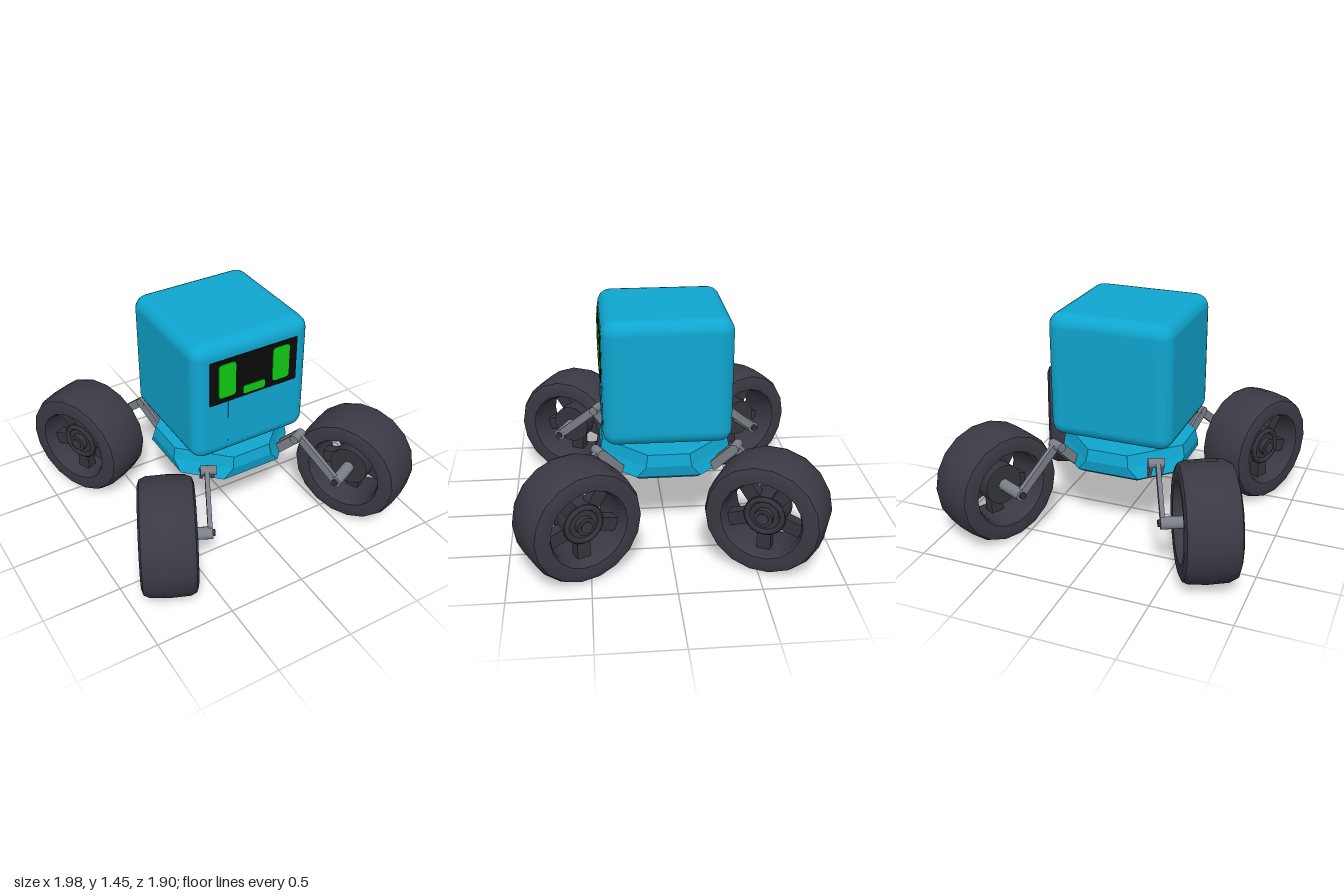
import * as THREE from 'three';
import { toCreasedNormals } from 'three/addons/utils/BufferGeometryUtils.js';
import { RoundedBoxGeometry } from 'three/addons/geometries/RoundedBoxGeometry.js';

const material = (name, color) => {
  const m = new THREE.MeshStandardMaterial({ color });
  m.name = name;
  return m;
};

function part(parent, name, geometry, mat, x = 0, y = 0, z = 0) {
  const mesh = new THREE.Mesh(geometry, mat);
  mesh.name = name;
  mesh.position.set(x, y, z);
  parent.add(mesh);
  return mesh;
}

// Cylinder lying along the local x axis
const axle = (r, length, sides = 16) =>
  new THREE.CylinderGeometry(r, r, length, sides).rotateZ(-Math.PI / 2);

// Thin rounded plate facing +z
function roundedPlate(w, h, r, depth) {
  const s = new THREE.Shape();
  const x = w / 2, y = h / 2;
  s.moveTo(-x + r, -y);
  s.lineTo(x - r, -y); s.quadraticCurveTo(x, -y, x, -y + r);
  s.lineTo(x, y - r); s.quadraticCurveTo(x, y, x - r, y);
  s.lineTo(-x + r, y); s.quadraticCurveTo(-x, y, -x, y - r);
  s.lineTo(-x, -y + r); s.quadraticCurveTo(-x, -y, -x + r, -y);
  return new THREE.ExtrudeGeometry(s, { depth, bevelEnabled: false, curveSegments: 4 });
}

// Faceted body from eight-sided sections: [height, side distance, side half width]
function octagonBody(sections) {
  const pos = [], index = [];
  for (const [y, d, w] of sections) {
    pos.push(d, y, -w, d, y, w, w, y, d, -w, y, d, -d, y, w, -d, y, -w, -w, y, -d, w, y, -d);
  }
  for (let s = 0; s < sections.length - 1; s++) {
    for (let i = 0; i < 8; i++) {
      const a = s * 8 + i, b = s * 8 + (i + 1) % 8;
      index.push(a, a + 8, b, b, a + 8, b + 8);
    }
  }
  const top = (sections.length - 1) * 8;
  for (let i = 1; i < 7; i++) {
    index.push(0, i, i + 1, top, top + i + 1, top + i);
  }
  const g = new THREE.BufferGeometry();
  g.setAttribute('position', new THREE.Float32BufferAttribute(pos, 3));
  g.setIndex(index);
  const flat = g.toNonIndexed();
  flat.computeVertexNormals();
  return flat;
}

export function createModel() {
  const blue = material('blue shell', 0x0fa6d0);
  const grey = material('grey metal', 0x7b8088);
  const rubber = material('dark rubber', 0x3b3944);
  const rimDark = material('dark rim', 0x35343d);
  const black = material('black screen', 0x0a0a0b);
  const green = material('green light', 0x0fcb12);

  const model = new THREE.Group();
  model.name = 'fourWheeledRobot';

  // Cube head with face screen and front hatch
  const head = new THREE.Group();
  head.name = 'head';
  model.add(head);
  part(head, 'headShell', new RoundedBoxGeometry(0.8, 0.8, 0.8, 3, 0.085), blue, 0, 1.06, 0);
  part(head, 'hatch', new THREE.BoxGeometry(0.35, 0.3, 0.008), blue, 0, 0.91, 0.4);
  part(head, 'screen', new THREE.BoxGeometry(0.6, 0.296, 0.009), black, 0, 1.208, 0.402);
  for (const s of [-1, 1]) {
    part(head, 'eye', roundedPlate(0.117, 0.23, 0.025, 0.005), green, s * 0.186, 1.214, 0.406);
  }
  part(head, 'mouth', roundedPlate(0.15, 0.055, 0.012, 0.005), green, 0, 1.107, 0.406);

  // Neck and chassis
  part(model, 'neck', new THREE.CylinderGeometry(0.19, 0.19, 0.1, 32), grey, 0, 0.63, 0);
  part(model, 'chassis', octagonBody([
    [0.43, 0.36, 0.18], [0.46, 0.4, 0.2], [0.535, 0.415, 0.14], [0.61, 0.4, 0.13],
  ]), blue);

  // Tyre profile, closed through the barrel of the rim
  const tyre = [
    [0.25, -0.165], [0.31, -0.17], [0.345, -0.157], [0.362, -0.12], [0.368, 0],
    [0.362, 0.12], [0.345, 0.157], [0.31, 0.17], [0.25, 0.165], [0.235, 0.13],
    [0.235, -0.13], [0.25, -0.165],
  ].map(([r, a]) => new THREE.Vector2(r, a));
  const tyreGeometry = toCreasedNormals(
    new THREE.LatheGeometry(tyre, 18).rotateZ(-Math.PI / 2), 0.7);

  function wheel() {
    const g = new THREE.Group();
    g.name = 'wheel';
    part(g, 'tyre', tyreGeometry, rubber);
    part(g, 'hub', axle(0.13, 0.17, 20), rimDark, 0.005);
    part(g, 'hubRing', new THREE.TorusGeometry(0.108, 0.018, 6, 20).rotateY(Math.PI / 2), rimDark, 0.09);
    part(g, 'hubCap', axle(0.058, 0.05), rimDark, 0.1);
    part(g, 'hubBolt', axle(0.036, 0.02), rubber, 0.125);
    for (let i = 0; i < 5; i++) {
      const spoke = part(g, 'spoke',
        new THREE.BoxGeometry(0.07, 0.14, 0.085).translate(0, 0.18, 0), rimDark, 0.045);
      spoke.rotation.x = (i + 0.5) * Math.PI * 2 / 5;
    }
    return g;
  }

  // Flat bar between two points given as [height, along]
  function bar(parent, name, u, [y0, v0], [y1, v1], width, thick) {
    const length = Math.hypot(y1 - y0, v1 - v0);
    const mesh = part(parent, name, new THREE.BoxGeometry(thick, length, width), grey,
      u, (y0 + y1) / 2, (v0 + v1) / 2);
    mesh.rotation.x = Math.atan2(v1 - v0, y1 - y0);
    for (const [y, v] of [[y0, v0], [y1, v1]]) {
      part(parent, name + 'End', axle(width / 2, thick, 12), grey, u, y, v);
    }
  }

  // One wheel with its leg; s is the side (+1 or -1) along the wheel plane
  function corner(s) {
    const g = new THREE.Group();
    g.name = 'wheelLeg';
    const hip = [0.245, -0.29 * s], mount = [0.11, -0.42 * s];
    g.add(wheel());
    part(g, 'axle', axle(0.038, 0.2), grey, -0.17);
    part(g, 'axleBolt', axle(0.022, 0.02, 10), rimDark, -0.275);
    bar(g, 'legArm', -0.255, [0, 0], hip, 0.055, 0.028);
    part(g, 'hipPin', axle(0.03, 0.1), grey, -0.265, ...hip);
    for (const u of [-0.295, -0.227]) bar(g, 'hipBracket', u, hip, mount, 0.06, 0.02);
    g.rotation.y = s * 0.455;
    g.position.set(0.695, 0.368, s * 0.573);
    return g;
  }

  for (const turn of [0, Math.PI]) {
    const pair = new THREE.Group();
    pair.name = turn ? 'rightWheels' : 'leftWheels';
    pair.add(corner(1), corner(-1));
    pair.rotation.y = turn;
    model.add(pair);
  }
  return model;
}
